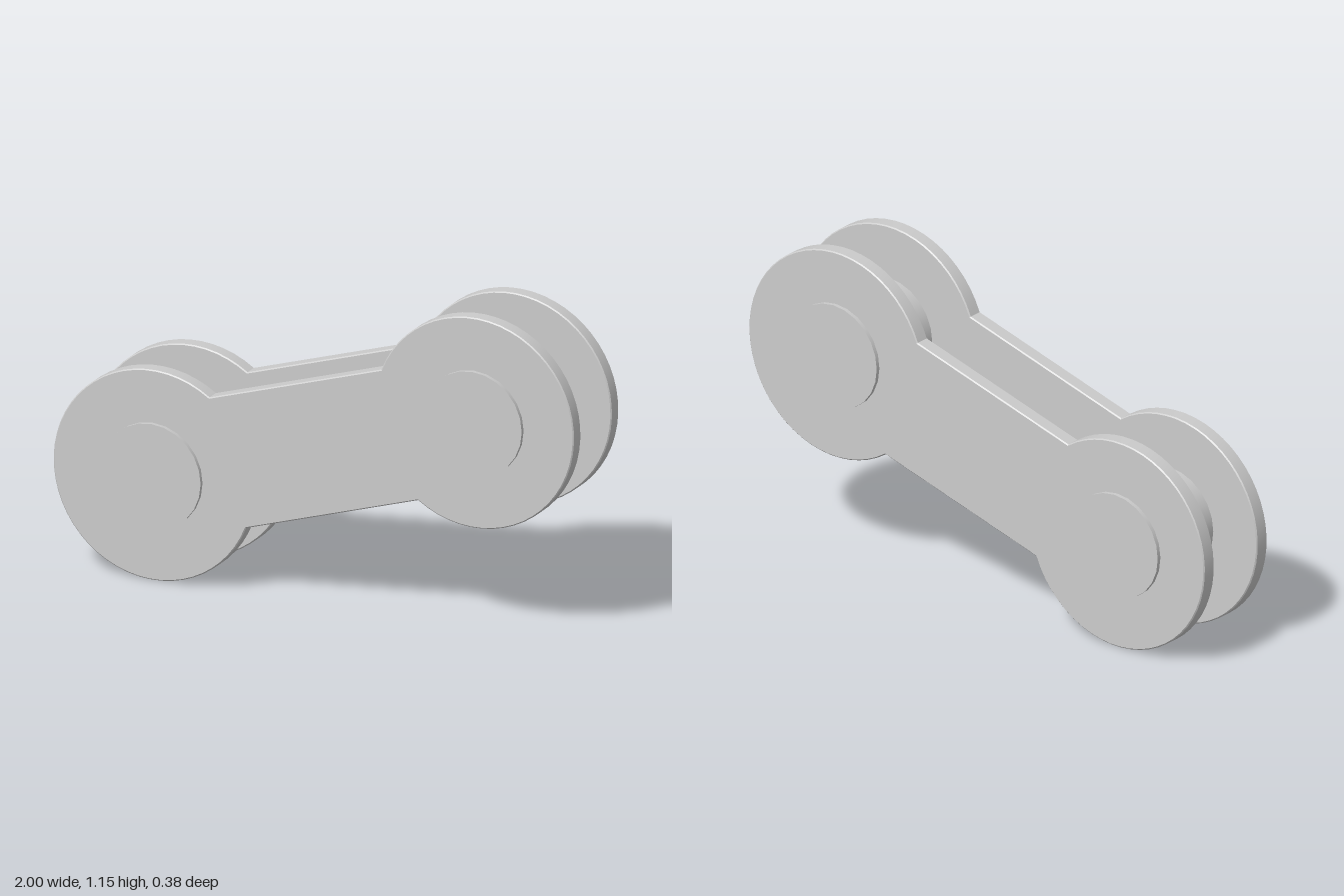
import * as THREE from 'three';
import { toCreasedNormals } from 'three/addons/utils/BufferGeometryUtils.js';

const ENDS = [new THREE.Vector2(-0.617, 0.385), new THREE.Vector2(0.617, 0.767)];
const EYE_RADIUS = 0.383, BAR_HALF = 0.238, PIN_RADIUS = 0.191;
const PLATE_THICK = 0.057, PLATE_Z = 0.1465, PIN_LENGTH = 0.38;

// Outline of two round eyes joined by a narrower straight bar
function linkShape() {
  const [p, q] = ENDS;
  const tilt = Math.atan2(q.y - p.y, q.x - p.x);
  const open = Math.asin(BAR_HALF / EYE_RADIUS);
  const shape = new THREE.Shape();
  shape.absarc(p.x, p.y, EYE_RADIUS, tilt + open, tilt - open + Math.PI * 2, false);
  shape.absarc(q.x, q.y, EYE_RADIUS, tilt + Math.PI + open, tilt + Math.PI * 3 - open, false);
  shape.closePath();
  return shape;
}

export function createModel() {
  const group = new THREE.Group();
  const material = new THREE.MeshStandardMaterial({ color: 0xcccccc });

  // Side plates, with a fine bevel on the rims
  const bevel = 0.004;
  const extruded = new THREE.ExtrudeGeometry(linkShape(), {
    depth: PLATE_THICK - 2 * bevel, curveSegments: 22,
    bevelEnabled: true, bevelThickness: bevel, bevelSize: bevel, bevelOffset: -bevel, bevelSegments: 1,
  });
  extruded.translate(0, 0, -PLATE_THICK / 2 + bevel);
  const plateGeometry = toCreasedNormals(extruded, 0.5);
  for (const side of [1, -1]) {
    const plate = new THREE.Mesh(plateGeometry, material);
    plate.name = side > 0 ? 'frontPlate' : 'backPlate';
    plate.position.z = side * PLATE_Z;
    group.add(plate);
  }

  // Pins running through both plates
  const pinGeometry = new THREE.CylinderGeometry(PIN_RADIUS, PIN_RADIUS, PIN_LENGTH, 24);
  pinGeometry.rotateX(Math.PI / 2);
  ENDS.forEach((end, i) => {
    const pin = new THREE.Mesh(pinGeometry, material);
    pin.name = i ? 'leftPin' : 'rightPin';
    pin.position.set(end.x, end.y, 0);
    group.add(pin);
  });
  return group;
}
